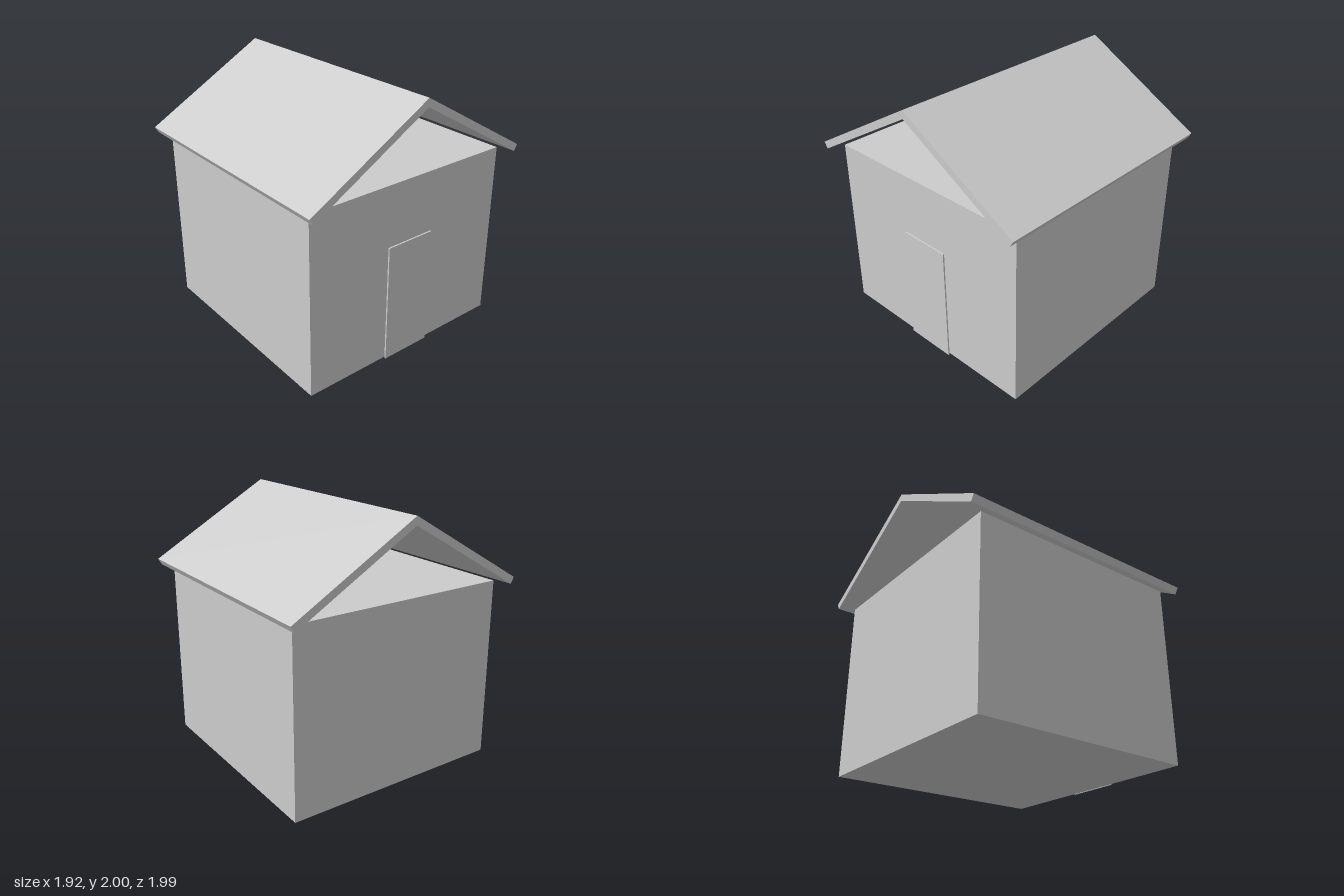
import * as THREE from 'three';

export function createModel() {
  const house = new THREE.Group();
  house.name = 'house';
  const plainGrey = new THREE.MeshStandardMaterial({ color: 0xcccccc });
  plainGrey.name = 'plainGrey';

  const add = (name, geometry, x, y, z) => {
    const mesh = new THREE.Mesh(geometry, plainGrey);
    mesh.name = name;
    mesh.position.set(x, y, z);
    house.add(mesh);
  };

  // Closed block of walls with a flat top
  const wallHeight = 1.405;
  add('walls', new THREE.BoxGeometry(1.755, wallHeight, 1.755), 0, wallHeight / 2, 0);

  // Thin door standing just in front of the wall
  const doorHeight = 0.935;
  add('door', new THREE.BoxGeometry(0.406, doorHeight, 0.012), 0, doorHeight / 2, 0.893);

  // Gabled roof with open ends: a chevron extruded along z
  const roofLength = 1.99;
  const chevron = new THREE.Shape([
    [0, 2], [-0.96, 1.446], [-0.932, 1.398], [0, 1.937], [0.932, 1.398], [0.96, 1.446],
  ].map(([x, y]) => new THREE.Vector2(x, y)));
  const roof = new THREE.ExtrudeGeometry(chevron, { depth: roofLength, bevelEnabled: false });
  add('roof', roof, 0, 0, -roofLength / 2);

  return house;
}
